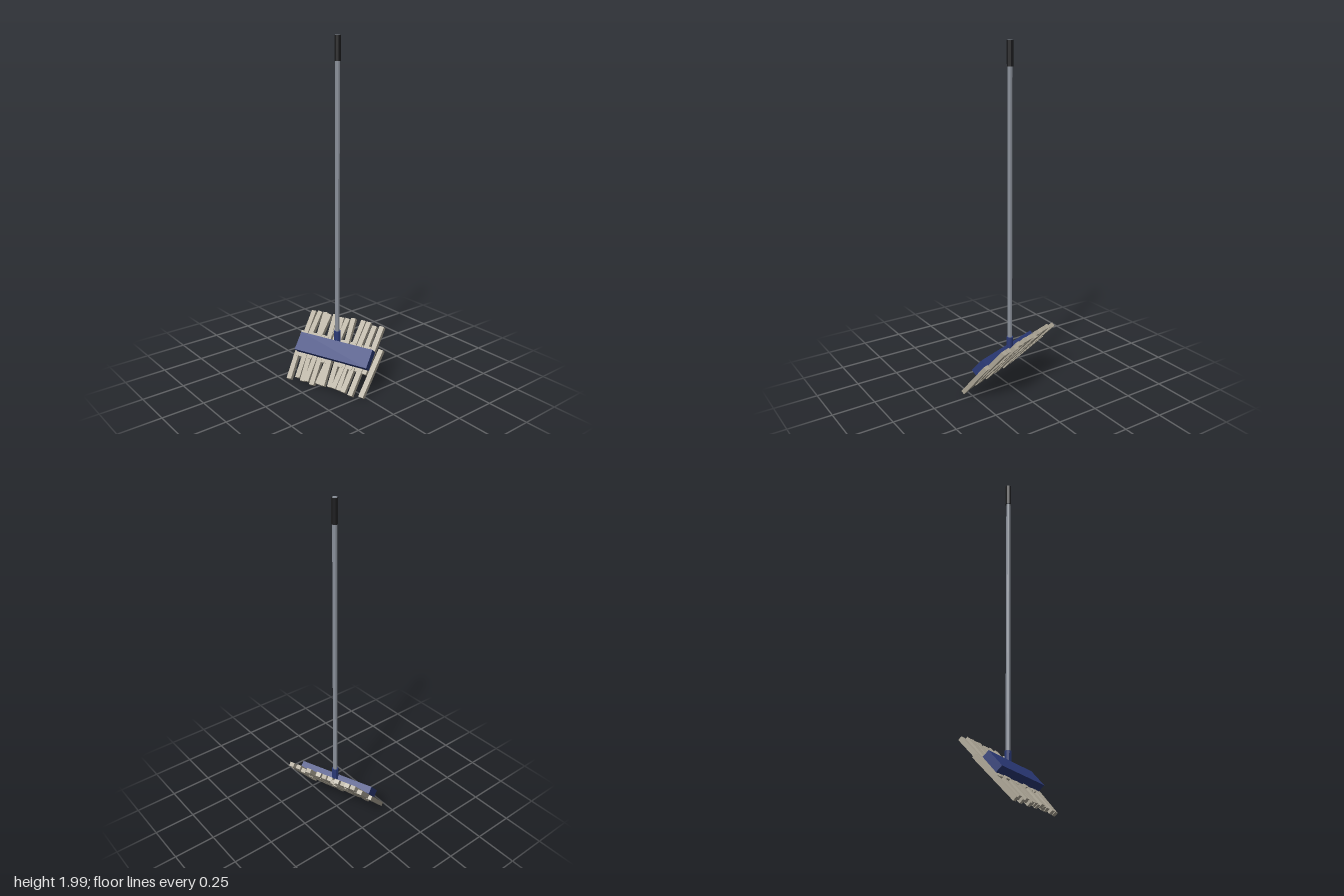
import * as THREE from 'three';

const mat = (color) => new THREE.MeshStandardMaterial({ color, flatShading: true });
const BLUE = mat(0x2b3a78), STEEL = mat(0x8c929c), BLACK = mat(0x1c1c1e), COTTON = mat(0xb0a999);

function add(parent, name, geometry, material, x = 0, y = 0, z = 0) {
  const mesh = new THREE.Mesh(geometry, material);
  mesh.name = name;
  mesh.position.set(x, y, z);
  parent.add(mesh);
  return mesh;
}

// Upright octagonal rod between two heights
function rod(parent, name, radius, y0, y1, material) {
  const g = new THREE.CylinderGeometry(radius, radius, y1 - y0, 8);
  g.rotateY(Math.PI / 8);
  return add(parent, name, g, material, 0, (y0 + y1) / 2, 0);
}

// Each strand: [z of outer tip, z of inner end, outer tip distance]
const LOWER = [
  [-0.235, -0.262, 0.225], [-0.182, -0.198, 0.205], [-0.147, -0.172, 0.215],
  [-0.116, -0.118, 0.212], [-0.078, -0.092, 0.222], [-0.041, -0.028, 0.208],
  [-0.008, -0.03, 0.21], [0.036, 0.02, 0.205], [0.068, 0.088, 0.207],
  [0.1, 0.09, 0.208], [0.13, 0.142, 0.212], [0.18, 0.195, 0.22], [0.244, 0.272, 0.21],
];
const UPPER = [
  [-0.245, -0.238, 0.217], [-0.196, -0.212, 0.22], [-0.158, -0.14, 0.222],
  [-0.128, -0.15, 0.215], [-0.088, -0.062, 0.222], [-0.065, -0.09, 0.212],
  [-0.038, -0.026, 0.213], [0, -0.022, 0.215], [0.036, 0.062, 0.224],
  [0.105, 0.09, 0.225], [0.137, 0.122, 0.225], [0.185, 0.172, 0.208], [0.23, 0.215, 0.215],
];

// Straight cotton strands reaching from under the block to one side
function strandRow(parent, name, rows, side) {
  const row = new THREE.Group();
  row.name = name;
  rows.forEach(([zTip, zInner, reach], i) => {
    const xTip = side * reach, xInner = -side * 0.08;
    const dx = xTip - xInner, dz = zTip - zInner;
    const strand = add(row, 'strand', new THREE.BoxGeometry(Math.hypot(dx, dz), 0.025, 0.03), COTTON,
      (xTip + xInner) / 2, -0.035 + ((i * 3) % 5 - 2) * 0.002, (zTip + zInner) / 2);
    strand.rotation.set(0, Math.atan2(-dz * side, dx * side), ((i * 2) % 5 - 2) * 0.012, 'YXZ');
  });
  parent.add(row);
}

export function createModel() {
  const model = new THREE.Group();
  model.name = 'mop';

  // Upright handle
  const handle = new THREE.Group();
  handle.name = 'handle';
  handle.position.set(0.012, 0, -0.002);
  rod(handle, 'pole', 0.0135, 0.22, 2, STEEL);
  rod(handle, 'grip', 0.018, 1.865, 1.998, BLACK);
  rod(handle, 'socket', 0.02, 0.205, 0.32, BLUE);
  model.add(handle);

  // Tilted head: x runs uphill, y is the block's normal, z its length
  const head = new THREE.Group();
  head.name = 'head';
  head.position.set(-0.025, 0.2075, 0.0125);
  head.rotation.set(0, 0.36, 0.84, 'YXZ');
  add(head, 'block', new THREE.BoxGeometry(0.112, 0.044, 0.486), BLUE);
  strandRow(head, 'lowerStrands', LOWER, -1);
  strandRow(head, 'upperStrands', UPPER, 1);
  model.add(head);

  return model;
}
